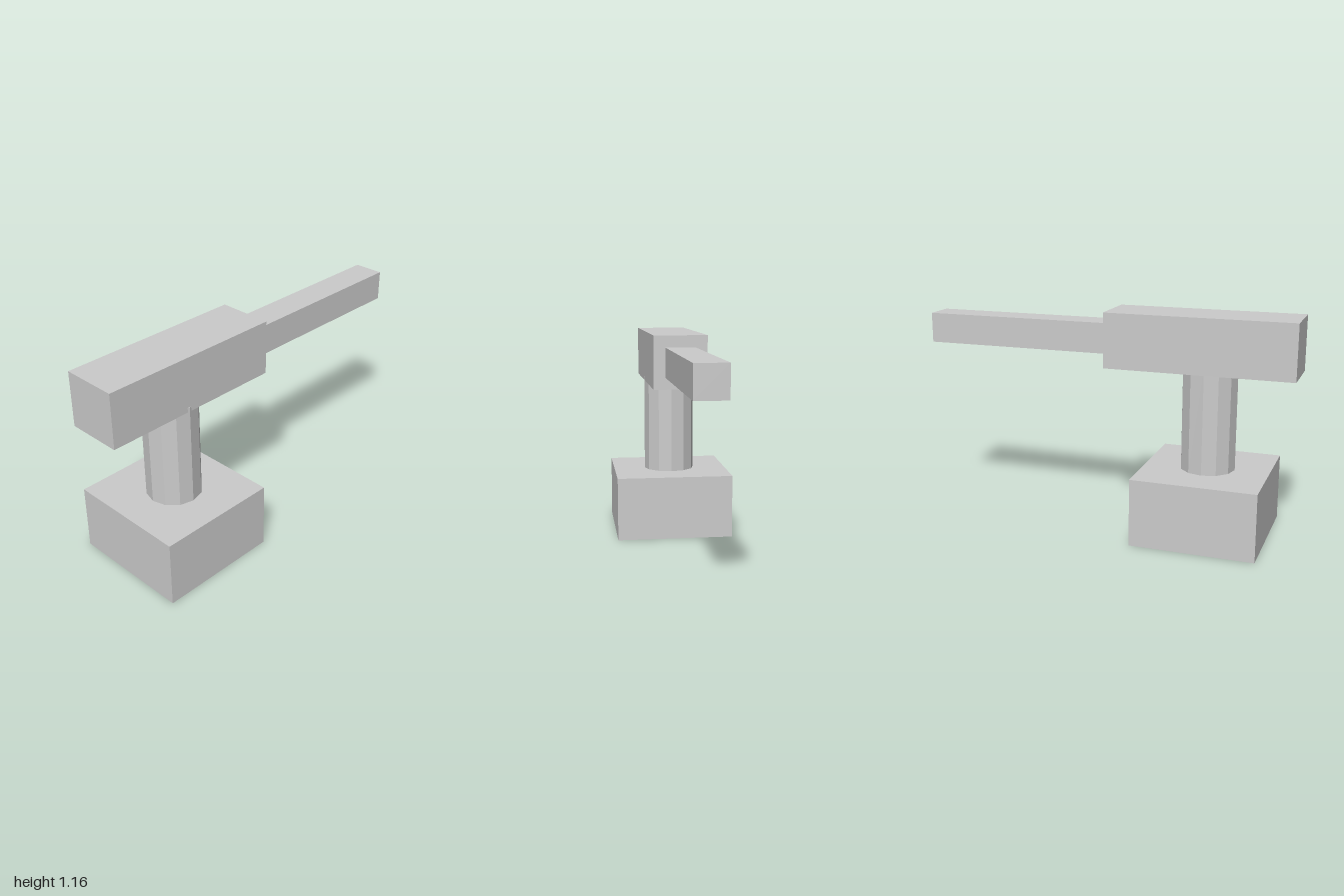
import * as THREE from 'three';

export function createModel() {
  const model = new THREE.Group();
  const material = new THREE.MeshStandardMaterial({ color: 0xcccccc, flatShading: true });

  const add = (name, geometry, x, y, z) => {
    const mesh = new THREE.Mesh(geometry, material);
    mesh.name = name;
    mesh.position.set(x, y, z);
    model.add(mesh);
  };

  // Square block the model stands on
  add('base', new THREE.BoxGeometry(0.648, 0.355, 0.652), -0.547, 0.1775, 0);

  // Twelve-sided post, its top sunk slightly into the head
  add('column', new THREE.CylinderGeometry(0.1435, 0.1435, 0.56, 12), -0.547, 0.62, 0.001);

  // Long block lying across the post
  add('head', new THREE.BoxGeometry(0.98, 0.287, 0.289), -0.51, 1.018, -0.003);

  // Slim square arm reaching out from the end of the head
  add('arm', new THREE.BoxGeometry(1.03, 0.16, 0.161), 0.485, 1.017, -0.003);

  return model;
}
